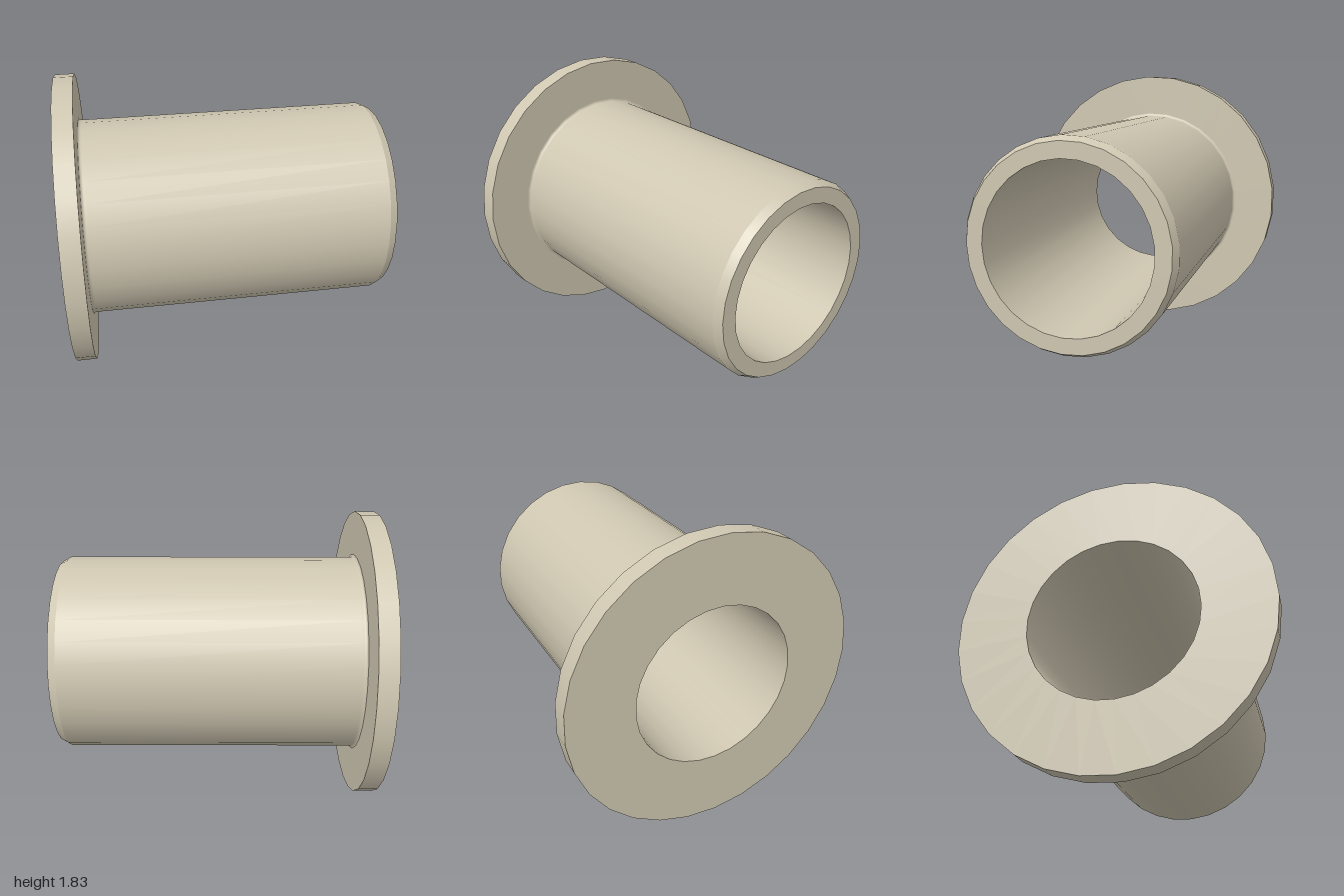
import * as THREE from 'three';

const SIDES = 29;
const R_FLANGE = 0.915, R_BODY = 0.623, R_BORE = 0.5, R_TIP = 0.596;
const X_BACK = -1, X_FLANGE = -0.88, X_CHAMFER = 0.95, X_TIP = 1;
const FILLET = 0.018;

// Surface of revolution around the x axis; each profile point is [x, radius].
// Separate surfaces meet in sharp edges.
function revolve(name, profile, material) {
  const points = profile.map(([x, r]) => new THREE.Vector2(r, x));
  const geometry = new THREE.LatheGeometry(points, SIDES);
  geometry.rotateZ(-Math.PI / 2);
  const mesh = new THREE.Mesh(geometry, material);
  mesh.name = name;
  return mesh;
}

export function createModel() {
  const model = new THREE.Group();
  model.name = 'flangedBushing';
  const beige = new THREE.MeshStandardMaterial({ color: 0xcfc7b1 });
  beige.name = 'beige';

  // Concave fillet from the flange face into the sleeve
  const sleeve = [];
  for (let i = 0; i <= 4; i++) {
    const a = (i / 4) * Math.PI / 2;
    sleeve.push([
      X_FLANGE + FILLET * (1 - Math.cos(a)),
      R_BODY + FILLET * (1 - Math.sin(a)),
    ]);
  }
  sleeve.push([X_FLANGE + FILLET + 0.01, R_BODY], [X_CHAMFER, R_BODY]);

  const parts = {
    flangeBack: [[X_BACK, R_BORE], [X_BACK, R_FLANGE]],
    flangeRim: [[X_BACK, R_FLANGE], [X_FLANGE, R_FLANGE]],
    flangeFace: [[X_FLANGE, R_FLANGE], [X_FLANGE, R_BODY + FILLET]],
    sleeve,
    chamfer: [[X_CHAMFER, R_BODY], [X_TIP, R_TIP]],
    sleeveEnd: [[X_TIP, R_TIP], [X_TIP, R_BORE]],
    bore: [[X_TIP, R_BORE], [X_BACK, R_BORE]],
  };
  for (const [name, profile] of Object.entries(parts)) {
    model.add(revolve(name, profile, beige));
  }

  // Rest the rim on the ground and centre the odd-sided outline in z
  for (const part of model.children) part.position.set(0, 0.914, -0.003);
  return model;
}
